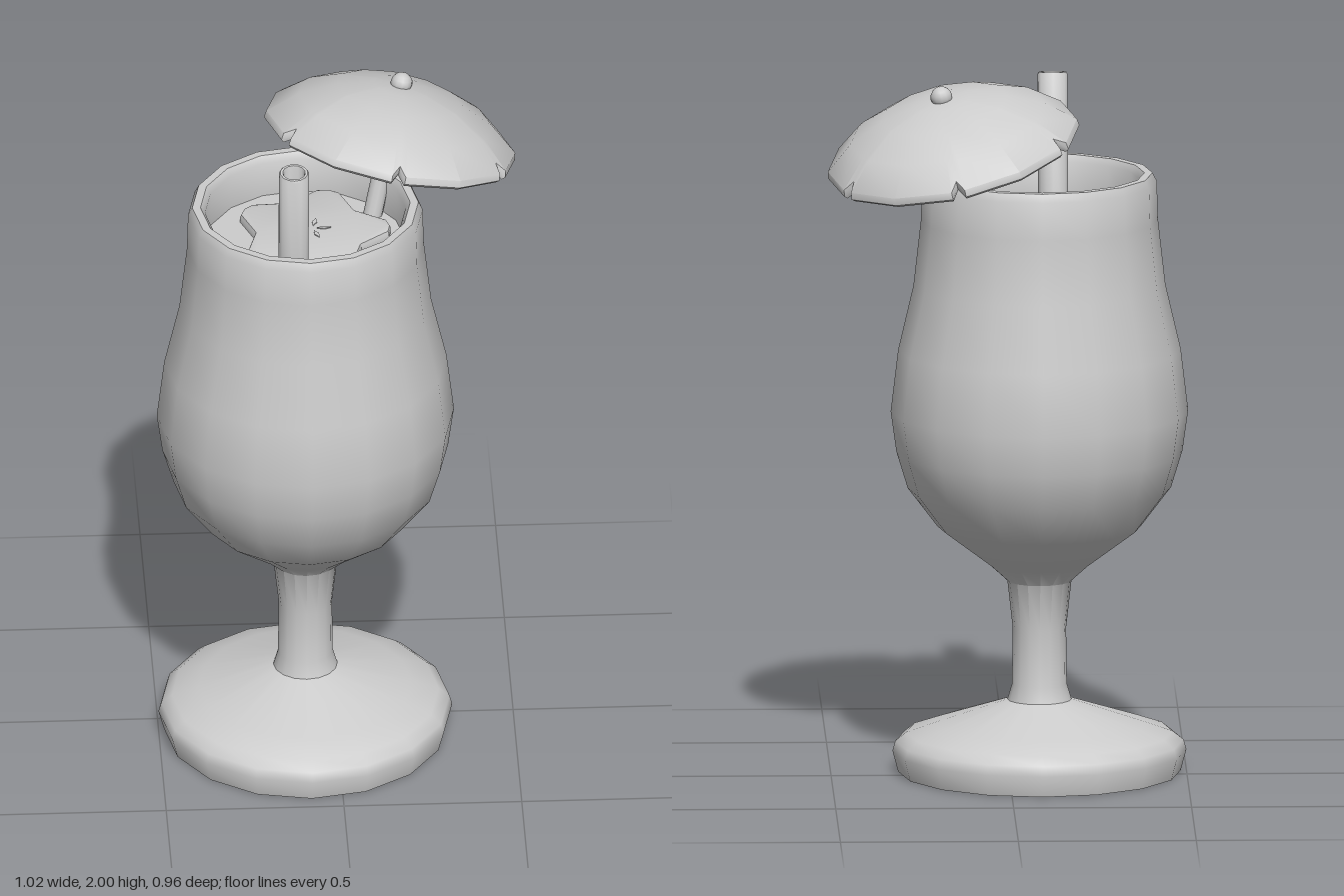
import * as THREE from 'three';
import { mergeVertices, toCreasedNormals } from 'three/addons/utils/BufferGeometryUtils.js';

const clay = new THREE.MeshStandardMaterial({ color: 0xcccccc });
clay.name = 'light grey';

const GLASS_X = -0.087, GLASS_Z = 0.058;

// Weld a geometry, then smooth it while keeping sharp edges
function crease(geometry, angle = 0.75) {
  geometry.deleteAttribute('normal');
  geometry.deleteAttribute('uv');
  return toCreasedNormals(mergeVertices(geometry, 1e-4), angle);
}

function part(name, geometry, x = 0, y = 0, z = 0) {
  const mesh = new THREE.Mesh(geometry, clay);
  mesh.name = name;
  mesh.position.set(x, y, z);
  return mesh;
}

const lathe = (points, sides) =>
  new THREE.LatheGeometry(points.map(([r, y]) => new THREE.Vector2(r, y)), sides);

// Foot, stem, bowl, rounded rim and inner wall in one turned profile
function makeGlass() {
  return part('glass', crease(lathe([
    [0, 0], [0.397, 0], [0.413, 0.06], [0.405, 0.088], [0.375, 0.112], [0.3, 0.138],
    [0.09, 0.206], [0.077, 0.25], [0.075, 0.41], [0.09, 0.545], [0.143, 0.593],
    [0.286, 0.7], [0.37, 0.81], [0.402, 0.915], [0.418, 1.03], [0.397, 1.206],
    [0.354, 1.39], [0.333, 1.577], [0.33, 1.685], [0.318, 1.709], [0.295, 1.709],
    [0.282, 1.69], [0.282, 1.58], [0.285, 1.5],
  ], 16)), GLASS_X, 0, GLASS_Z);
}

function makeDrink() {
  return part('drink', new THREE.CircleGeometry(0.285, 16).rotateX(-Math.PI / 2),
    GLASS_X, 1.585, GLASS_Z);
}

// Five-lobed fruit slice floating on the drink, with seed marks in the middle
function makeFruit() {
  const group = new THREE.Group();
  group.name = 'fruitSlice';
  group.position.set(-0.067, 1.612, 0.027);
  const outline = [];
  for (let k = 0; k < 5; k++) {
    const a = THREE.MathUtils.degToRad(69 + 72 * k);
    for (const [r, da] of [[0.15, -0.628], [0.207, -0.13], [0.212, 0], [0.207, 0.13]])
      outline.push(new THREE.Vector2(r * Math.cos(a + da), r * Math.sin(a + da)));

    const seed = part('seedMark', new THREE.CylinderGeometry(0.02, 0.02, 0.004, 4), 0.034 * Math.cos(a), 0.001, 0.034 * Math.sin(a));
    seed.scale.set(0.35, 1, 1);
    seed.rotation.y = Math.PI / 2 - a;
    group.add(seed);
  }
  const slice = new THREE.ExtrudeGeometry(new THREE.Shape(outline), {
    depth: 0.03, bevelThickness: 0.01, bevelSize: 0.01, bevelSegments: 2,
  });
  slice.rotateX(Math.PI / 2).translate(0, -0.01, 0);
  group.add(part('slice', crease(slice, 0.5)));
  return group;
}

// Hollow straw leaning towards the front
function makeStraw() {
  const straw = part('straw', crease(lathe([
    [0.03, -0.45], [0.043, -0.45], [0.043, -0.006], [0.039, 0], [0.032, 0], [0.029, -0.006], [0.03, -0.45],
  ], 14)), -0.13, 1.955, 0.288);
  straw.rotation.x = 0.122;
  return straw;
}

// Tilted paper umbrella: notched canopy, knob and stick
function makeUmbrella() {
  const group = new THREE.Group();
  group.name = 'umbrella';
  group.position.set(0.158, 1.805, -0.13);
  group.quaternion.setFromUnitVectors(
    new THREE.Vector3(0, 1, 0), new THREE.Vector3(0.22, 1, -0.19).normalize());

  const profile = [
    [0, 0.145], [0.08, 0.14], [0.18, 0.113], [0.27, 0.065], [0.342, 0.002],
    [0.352, -0.006], [0.361, 0.002], [0.358, 0.022], [0.28, 0.088], [0.18, 0.136],
    [0.08, 0.16], [0, 0.165],
  ];
  const canopy = lathe(profile, 24);
  const pos = canopy.attributes.position;
  const steps = [0, 3, 30, 57]; // each sixth: notch, its edge, mid panel, next edge
  for (let i = 0; i <= 24; i++) {
    const phi = THREE.MathUtils.degToRad(60 * Math.floor(i / 4) + steps[i % 4]);
    profile.forEach(([r, y], j) => {
      const notched = i % 4 === 0 && r > 0.34;
      const rr = notched ? r - 0.028 : r;
      pos.setXYZ(i * profile.length + j, rr * Math.sin(phi), notched ? y + 0.02 : y, rr * Math.cos(phi));
    });
  }
  group.add(part('canopy', crease(canopy)));
  group.add(part('knob', new THREE.SphereGeometry(0.031, 12, 8), 0, 0.171, 0));
  group.add(part('stick', new THREE.CylinderGeometry(0.027, 0.027, 0.42, 12), 0, -0.06, 0));
  return group;
}

export function createModel() {
  const model = new THREE.Group();
  model.name = 'cocktail';
  model.add(makeGlass(), makeDrink(), makeFruit(), makeStraw(), makeUmbrella());
  return model;
}
